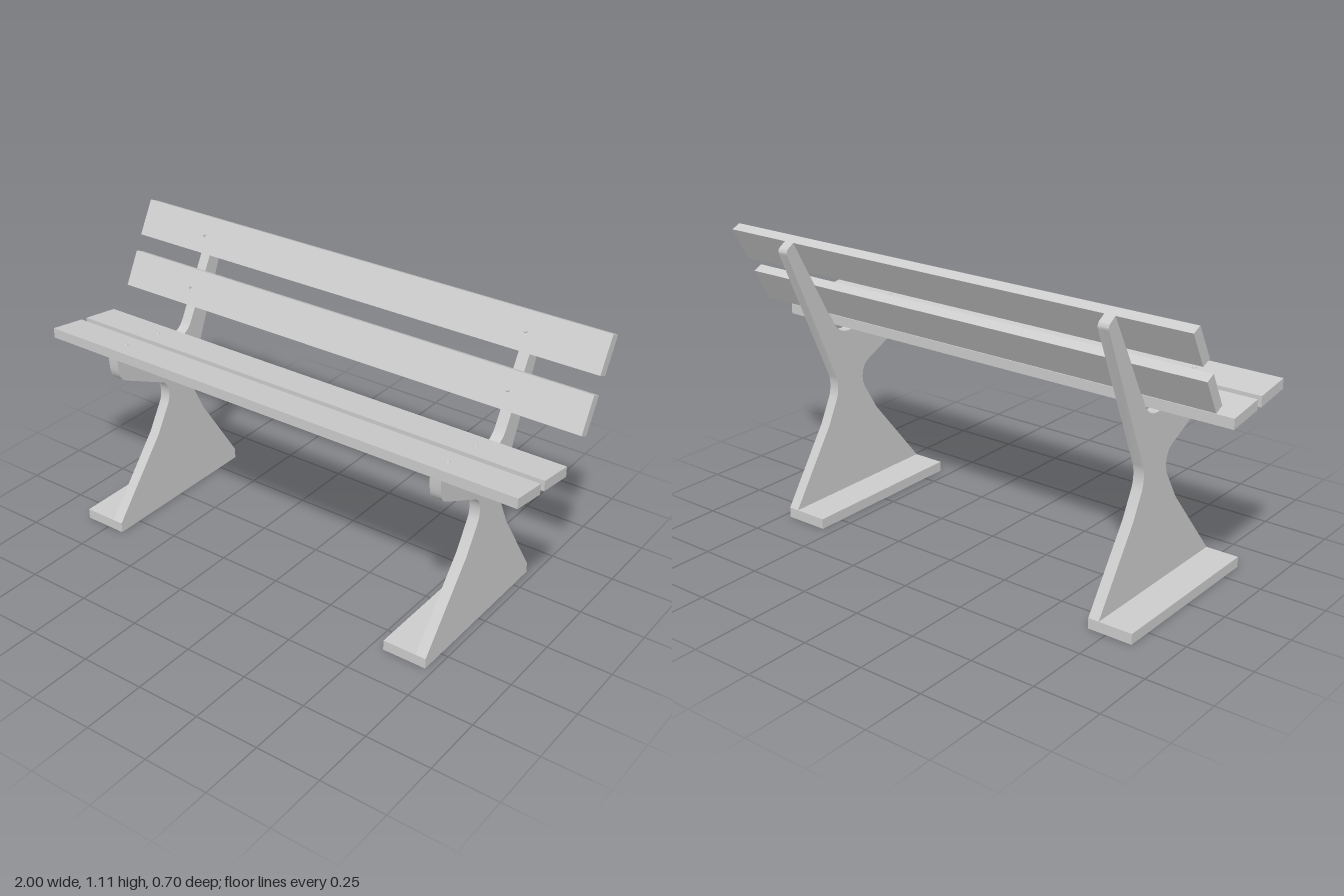
import * as THREE from 'three';
import { toCreasedNormals } from 'three/addons/utils/BufferGeometryUtils.js';

const stone = new THREE.MeshStandardMaterial({ color: 0xcccccc });
stone.name = 'light grey';

// Extrude a (z, y) side profile along x, centred on x = 0
function extrudeAlongX(shape, width) {
  const geo = new THREE.ExtrudeGeometry(shape, { depth: width, bevelEnabled: false, curveSegments: 8 });
  geo.translate(0, 0, -width / 2);
  geo.rotateY(-Math.PI / 2);
  return toCreasedNormals(geo, 0.5);
}

function addMesh(parent, name, geo) {
  const mesh = new THREE.Mesh(geo, stone);
  mesh.name = name;
  parent.add(mesh);
  return mesh;
}

// Side frame: flared leg, seat arm and leaning back post in one outline
function frameShape() {
  const s = new THREE.Shape();
  s.moveTo(-0.35, 0.04);
  s.lineTo(0.35, 0.04);
  s.lineTo(0.11, 0.33);
  s.lineTo(0.046, 0.438);
  s.bezierCurveTo(0.03, 0.468, 0.034, 0.522, 0.068, 0.54);
  s.lineTo(0.265, 0.634);
  s.bezierCurveTo(0.3, 0.652, 0.305, 0.67, 0.307, 0.736);
  s.lineTo(-0.018, 0.69);
  s.bezierCurveTo(-0.06, 0.686, -0.09, 0.698, -0.109, 0.733);
  s.lineTo(-0.305, 1.092);
  s.lineTo(-0.328, 1.078);
  s.quadraticCurveTo(-0.345, 1.068, -0.338, 1.05);
  s.lineTo(-0.108, 0.516);
  s.bezierCurveTo(-0.1, 0.49, -0.1, 0.455, -0.112, 0.428);
  s.lineTo(-0.16, 0.33);
  s.closePath();
  return s;
}

export function createModel() {
  const bench = new THREE.Group();
  bench.name = 'bench';

  // Two identical supports, both feet reaching towards -x
  const frameGeo = extrudeAlongX(frameShape(), 0.042);
  const footGeo = new THREE.BoxGeometry(0.173, 0.04, 0.7);
  for (const x of [-0.7, 0.7]) {
    const support = new THREE.Group();
    support.name = x < 0 ? 'rightSupport' : 'leftSupport';
    support.position.x = x;
    addMesh(support, 'sideFrame', frameGeo);
    addMesh(support, 'foot', footGeo).position.set(-0.0655, 0.02, 0);
    bench.add(support);
  }

  // Slats: outer face runs from a to b, the other two corners rest on the frame
  const slats = [
    ['frontSeatSlat', [0.307, 0.774], [0.16, 0.753], [0.16, 0.713], [0.307, 0.735]],
    ['rearSeatSlat', [0.133, 0.75], [-0.018, 0.729], [-0.018, 0.69], [0.133, 0.711]],
    ['lowerBackSlat', [-0.105, 0.802], [-0.17, 0.926], [-0.207, 0.909], [-0.14, 0.785]],
    ['upperBackSlat', [-0.2, 0.984], [-0.268, 1.108], [-0.305, 1.092], [-0.238, 0.968]],
  ];
  const boltGeo = new THREE.CylinderGeometry(0.006, 0.009, 0.006, 10);
  for (const [name, a, b, c, d] of slats) {
    const shape = new THREE.Shape([a, b, c, d].map(p => new THREE.Vector2(...p)));
    addMesh(bench, name, extrudeAlongX(shape, 2));

    // Bolt heads on the outer face, one over each frame
    const normal = new THREE.Vector3(0, a[0] - b[0], b[1] - a[1]).normalize();
    for (const x of [-0.7, 0.7]) {
      const bolt = addMesh(bench, 'boltHead', boltGeo);
      bolt.position.set(x, (a[1] + b[1]) / 2, (a[0] + b[0]) / 2).addScaledVector(normal, 0.002);
      bolt.quaternion.setFromUnitVectors(new THREE.Vector3(0, 1, 0), normal);
    }
  }
  return bench;
}
